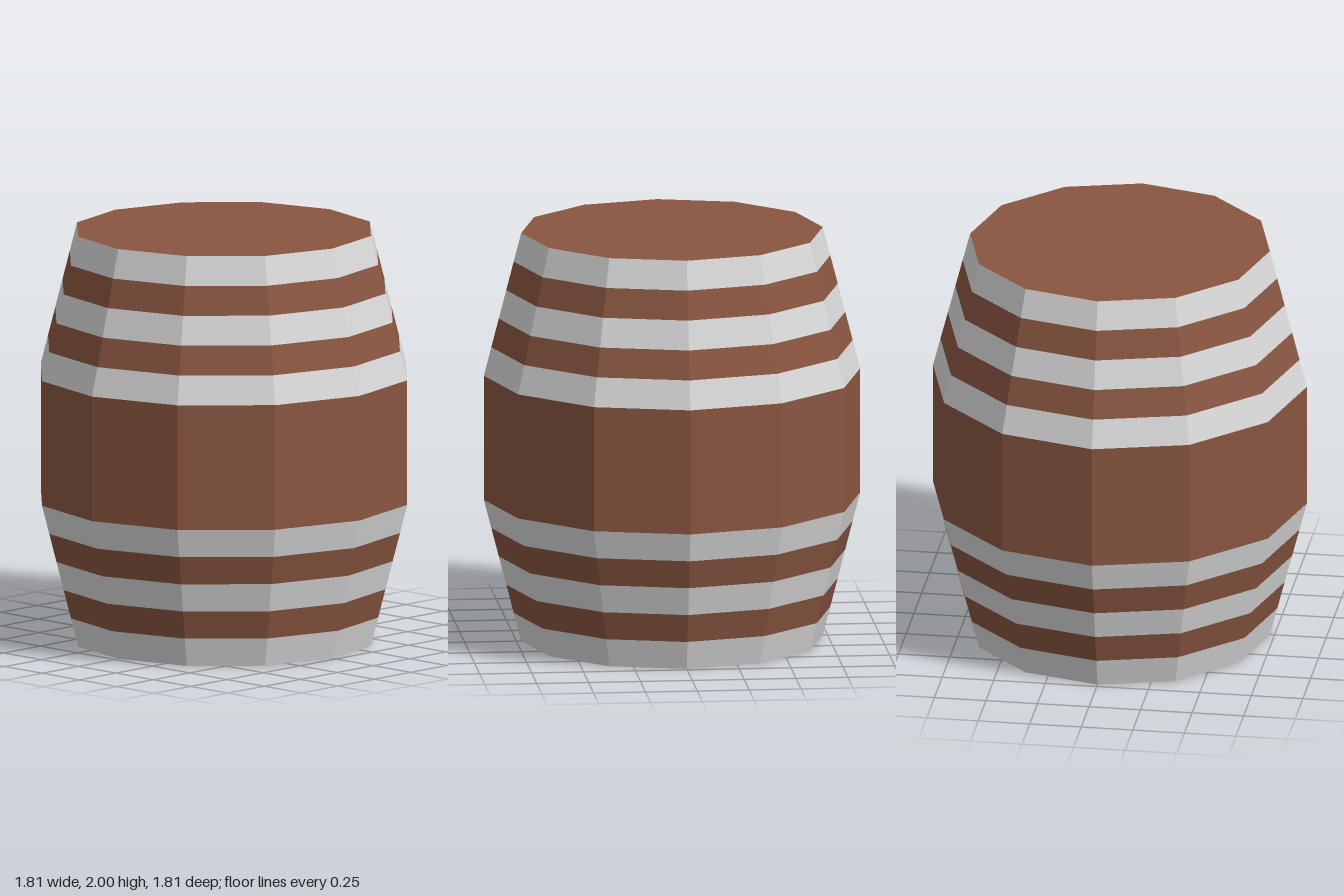
import * as THREE from 'three';

export function createModel() {
  const wood = new THREE.MeshStandardMaterial({ color: 0x8a5641, flatShading: true });
  wood.name = 'brown wood';
  const metal = new THREE.MeshStandardMaterial({ color: 0xdadada, flatShading: true });
  metal.name = 'pale metal';

  const barrel = new THREE.Group();
  barrel.name = 'barrel';

  const SIDES = 12, END_R = 0.727, BELLY_R = 0.907;
  const TAPER = 0.696, BANDS = 5; // height of each tapered end and its number of bands
  const step = TAPER / BANDS;

  // Radius of the barrel at a height
  const radiusAt = (y) => {
    const t = Math.min(1, Math.min(y, 2 - y) / TAPER);
    return END_R + (BELLY_R - END_R) * t;
  };

  // Open twelve-sided ring between two heights
  function addRing(name, y0, y1, material) {
    const geometry = new THREE.CylinderGeometry(radiusAt(y1), radiusAt(y0), y1 - y0, SIDES, 1, true);
    const ring = new THREE.Mesh(geometry, material);
    ring.name = name;
    ring.position.y = (y0 + y1) / 2;
    barrel.add(ring);
  }

  // Alternating hoops and staves on both tapered ends
  for (let i = 0; i < BANDS; i++) {
    const isHoop = i % 2 === 0;
    const part = isHoop ? 'Hoop' : 'Staves';
    const material = isHoop ? metal : wood;
    const y0 = i * step, y1 = (i + 1) * step;
    addRing('lower' + part, y0, y1, material);
    addRing('upper' + part, 2 - y1, 2 - y0, material);
  }

  // Straight belly
  addRing('bellyStaves', TAPER, 2 - TAPER, wood);

  // Flat wooden ends, with a corner on each axis like the rings
  for (const [name, y, tilt] of [['lid', 2, -Math.PI / 2], ['base', 0, Math.PI / 2]]) {
    const end = new THREE.Mesh(new THREE.CircleGeometry(END_R, SIDES), wood);
    end.name = name;
    end.rotation.x = tilt;
    end.position.y = y;
    barrel.add(end);
  }

  return barrel;
}
